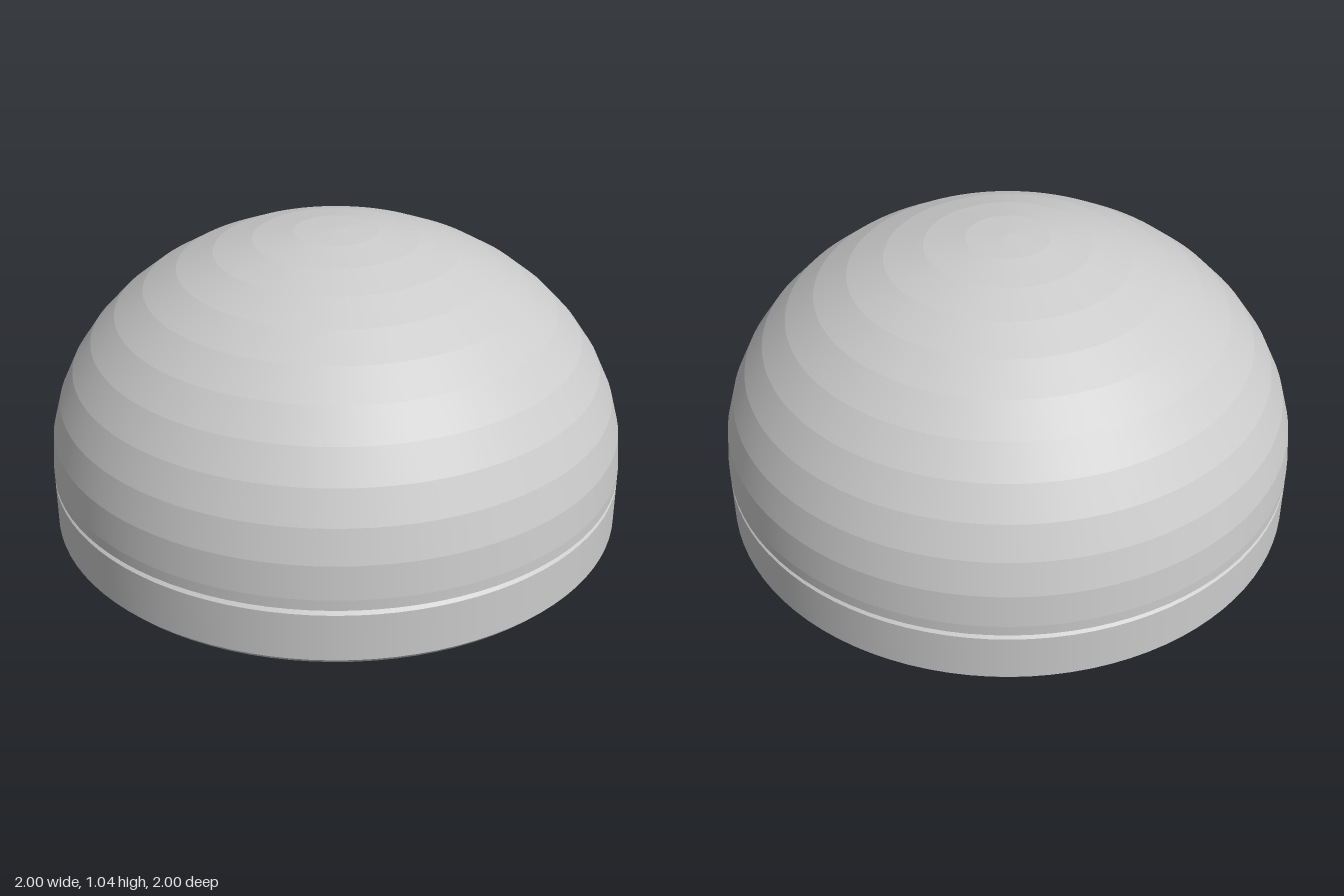
import * as THREE from 'three';
import { mergeGeometries } from 'three/addons/utils/BufferGeometryUtils.js';

const SIDES = 96;

// Lathe that is smooth around the axis but keeps a crisp edge at every profile point
function bandedLathe(profile) {
  const points = profile.map(([r, y]) => new THREE.Vector2(r, y));
  const bands = [];
  for (let i = 0; i < points.length - 1; i++) {
    bands.push(new THREE.LatheGeometry([points[i], points[i + 1]], SIDES));
  }
  return mergeGeometries(bands);
}

export function createModel() {
  const group = new THREE.Group();
  const material = new THREE.MeshStandardMaterial({ color: 0xcccccc });
  const addPart = (name, profile) => {
    const mesh = new THREE.Mesh(bandedLathe(profile), material);
    mesh.name = name;
    group.add(mesh);
  };

  const holeRadius = 0.11, holeDepth = 0.4;
  const seamY = 0.203, seamRadius = 0.982;

  // Blind mounting hole in the underside
  addPart('mountingHole', [[0, holeDepth], [holeRadius, holeDepth], [holeRadius, 0]]);

  // Base disc with a chamfer at the bottom and at the seam
  addPart('base', [[holeRadius, 0], [0.982, 0], [1, 0.02], [1, 0.185], [seamRadius, seamY]]);

  // Dome: flat rim at the seam, short straight skirt, then a faceted elliptical cap
  const dome = [[seamRadius, seamY], [1, seamY]];
  const steps = 11, springY = 0.24, rise = 0.8;
  for (let i = 0; i <= steps; i++) {
    const a = (i / steps) * Math.PI / 2;
    dome.push([i === steps ? 0 : Math.cos(a), springY + rise * Math.sin(a)]);
  }
  addPart('dome', dome);

  return group;
}
